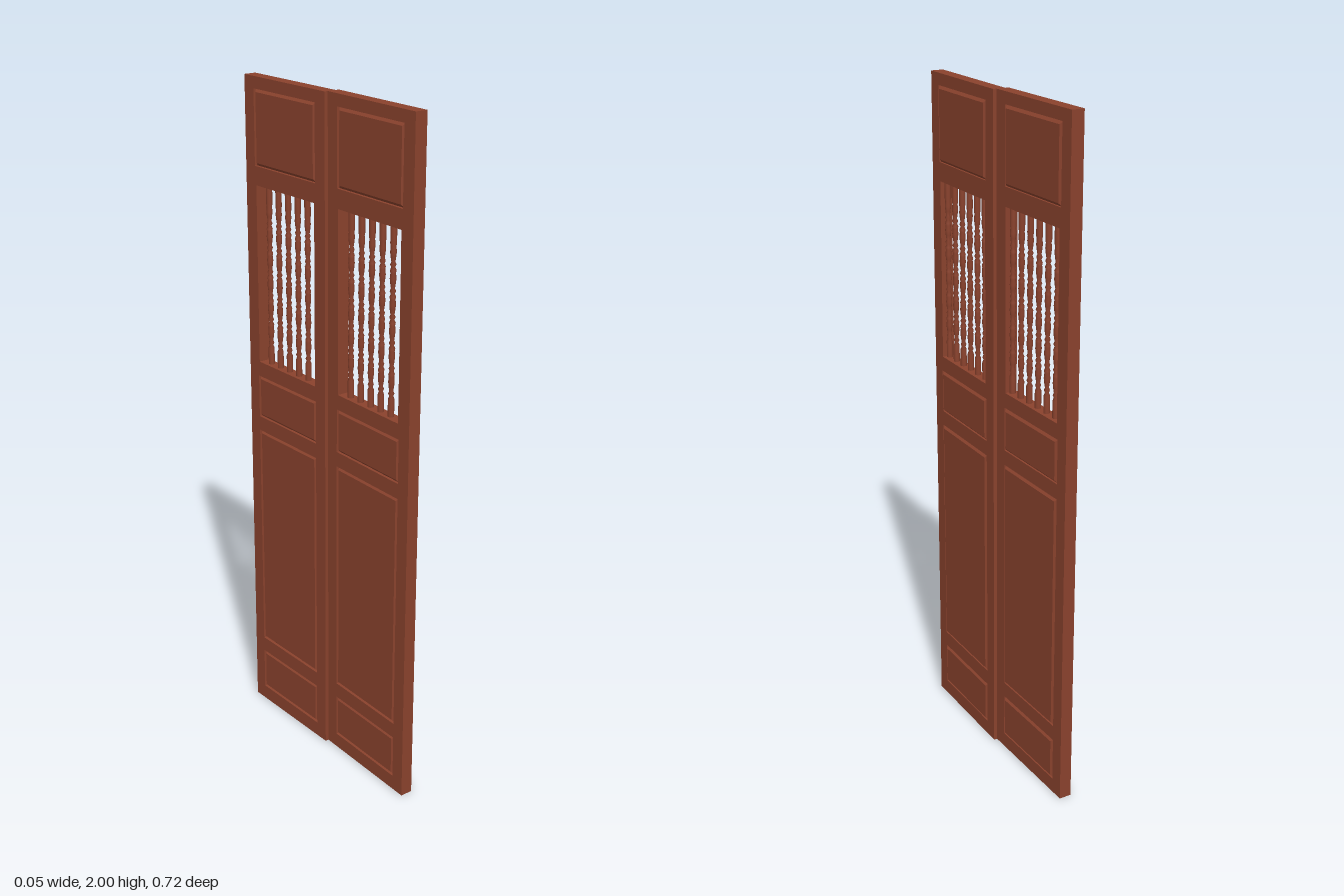
import * as THREE from 'three';

const W = 0.362, H = 2, FRONT = 0.012, THICK = 0.037;
const Z0 = 0.042, Z1 = 0.319;              // panel span across a leaf
const PANELS = [[0.045, 0.178], [0.225, 0.945], [0.99, 1.12], [1.75, 1.966]];
const WINDOW = [1.165, 1.695];

const wood = new THREE.MeshStandardMaterial({ color: 0x8a422d });
wood.name = 'redwood';

function rect(z0, y0, z1, y1, Type = THREE.Shape) {
  return new Type([[z0, y0], [z1, y0], [z1, y1], [z0, y1]].map(p => new THREE.Vector2(...p)));
}

// Extrude a shape drawn in z,y through the leaf thickness
function slab(shape, options, front, name) {
  const geo = new THREE.ExtrudeGeometry(shape, options);
  geo.rotateY(-Math.PI / 2).translate(front, 0, 0);
  const mesh = new THREE.Mesh(geo, wood);
  mesh.name = name;
  return mesh;
}

// Turned bar with repeated beads between plain ends
function spindleGeometry() {
  const [y0, y1] = WINDOW, len = y1 - y0, pts = [new THREE.Vector2(0.009, 0)];
  const beads = 6, start = 0.05, step = (len - 2 * start) / beads;
  for (let i = 0; i < beads; i++) {
    const y = start + i * step;
    [[0.009, 0], [0.0055, 0.12], [0.0085, 0.22], [0.0055, 0.32], [0.0075, 0.5], [0.009, 0.7], [0.0075, 0.9]]
      .forEach(([r, t]) => pts.push(new THREE.Vector2(r, y + t * step)));
  }
  pts.push(new THREE.Vector2(0.009, len - start), new THREE.Vector2(0.009, len));
  return new THREE.LatheGeometry(pts, 12);
}

function makeLeaf(name) {
  const leaf = new THREE.Group();
  leaf.name = name;

  // Stiles and rails, pierced for the panels and the window
  const shape = rect(0, 0, W, H);
  PANELS.forEach(([a, b]) => shape.holes.push(rect(Z0, a, Z1, b, THREE.Path)));
  shape.holes.push(rect(0.047, WINDOW[0], 0.315, WINDOW[1], THREE.Path));
  leaf.add(slab(shape, { depth: THICK, bevelEnabled: false }, FRONT, 'doorFrame'));

  // Raised panels with chamfered borders, slightly proud of the front
  const t = 0.009, proud = 0.003;
  PANELS.forEach(([a, b]) => leaf.add(slab(rect(Z0, a, Z1, b), {
    depth: THICK + proud - 2 * t, bevelThickness: t, bevelSize: t, bevelOffset: -t, bevelSegments: 1,
  }, FRONT + proud - t, 'raisedPanel')));

  // Row of turned spindles in the window
  const geo = spindleGeometry();
  for (let i = 0; i < 6; i++) {
    const bar = new THREE.Mesh(geo, wood);
    bar.name = 'spindle';
    bar.position.set(FRONT - THICK / 2, WINDOW[0], 0.306 - i * 0.0447);
    leaf.add(bar);
  }
  return leaf;
}

export function createModel() {
  const model = new THREE.Group();
  model.name = 'foldingDoor';

  const rear = makeLeaf('rearLeaf');
  rear.position.z = -W;

  // Front leaf is swung slightly open about its outer edge
  const hinge = new THREE.Group();
  hinge.name = 'frontHinge';
  const front = makeLeaf('frontLeaf');
  front.position.z = -W;
  hinge.add(front);
  hinge.position.z = W;
  hinge.rotation.y = -0.029;

  model.add(rear, hinge);
  return model;
}
